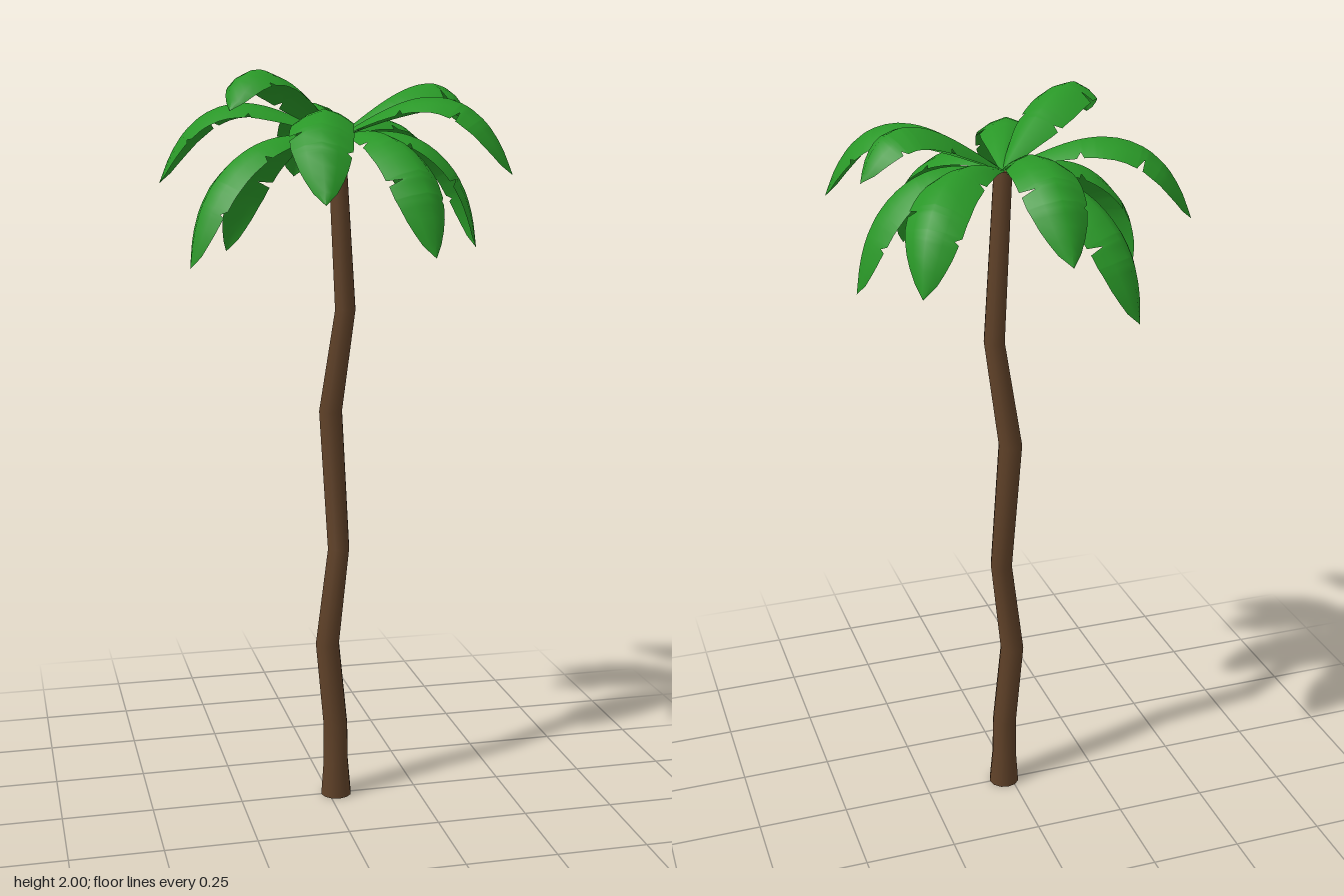
import * as THREE from 'three';
import { toCreasedNormals } from 'three/addons/utils/BufferGeometryUtils.js';

const CROWN = new THREE.Vector3(0.02, 1.83, 0);

// Trunk joints from the ground up: x, y, z, radius
const JOINTS = [
  [0.021, 0, 0, 0.043], [0.02, 0.1, 0, 0.035], [0.019, 0.21, 0, 0.034],
  [-0.004, 0.45, 0, 0.033], [0.028, 0.72, -0.002, 0.03], [0.014, 1.1, -0.04, 0.032],
  [0.045, 1.38, 0, 0.028], [0.02, 1.83, 0, 0.024],
];

// Frond tips: x, y, z, and sideways bow of the midrib
const TIPS = [
  [0, 1.71, -0.455, 0.002], [0.325, 1.63, -0.335, 0.016], [0.41, 1.855, -0.11, 0.014],
  [0.4, 1.54, 0.02, 0.016], [0.425, 1.74, 0.23, 0.014], [0.18, 1.55, 0.39, -0.006],
  [-0.11, 1.685, 0.455, 0.02], [-0.305, 1.9, 0.27, 0.014], [-0.385, 1.51, 0.12, 0.014],
  [-0.425, 1.71, -0.16, 0.014], [-0.22, 1.51, -0.335, 0.002],
];

// Half width of a frond along its length: position, width
const WIDTHS = [[0, 0.006], [0.15, 0.034], [0.3, 0.061], [0.45, 0.075], [0.6, 0.079],
  [0.72, 0.075], [0.82, 0.062], [0.91, 0.041], [0.96, 0.023], [1, 0]];

// Torn notches: position, side (+1 is right looking outward), depth
const NOTCHES = [[0.34, 1, 0.25], [0.4, -1, 0.2], [0.64, 1, 0.4], [0.75, -1, 0.15]];

function widthAt(t) {
  const i = Math.max(1, WIDTHS.findIndex(([p]) => p >= t));
  const [p0, w0] = WIDTHS[i - 1], [p1, w1] = WIDTHS[i];
  return w0 + (w1 - w0) * (t - p0) / (p1 - p0);
}

// Bent, tapering trunk: the rings of a cylinder are moved to the joints
function makeTrunk(material) {
  const sides = 12, n = JOINTS.length - 1;
  const geometry = new THREE.CylinderGeometry(1, 1, n, sides, n);
  const pos = geometry.attributes.position;
  for (let i = 0; i < pos.count; i++) {
    const [x, y, z, r] = JOINTS[Math.round(pos.getY(i) + n / 2)];
    pos.setXYZ(i, x + pos.getX(i) * r, y, z + pos.getZ(i) * r);
  }
  const trunk = new THREE.Mesh(toCreasedNormals(geometry, 0.9), material);
  trunk.name = 'trunk';
  return trunk;
}

// Midrib: rises from the crown, bows slightly sideways and hooks down at the tip
function makeRib(out, right, lift, bow) {
  const [drop, power, hook] = lift > 0 ? [0.26, 4, 0.03]
    : lift > -0.15 ? [0.36, 3.5, 0.03] : [0.37, 3.3, 0.07];
  const points = [];
  for (let i = 0; i <= 12; i++) {
    const f = i / 12;
    const p = CROWN.clone()
      .addScaledVector(out, f + hook * Math.sin(Math.PI * f ** 3))
      .addScaledVector(right, bow * Math.sin(Math.PI * f ** 1.5));
    p.y += (lift + drop) * f - drop * f ** power;
    points.push(p);
  }
  return new THREE.CatmullRomCurve3(points);
}

// Arching leaf blade swept along its midrib, with drooping, notched edges
function makeFrond([x, y, z, bow], material) {
  const out = new THREE.Vector3(x - CROWN.x, 0, z - CROWN.z);
  const right = out.clone().normalize().cross(new THREE.Vector3(0, 1, 0));
  const rib = makeRib(out, right, y - CROWN.y, bow);

  // Even rows, plus three rows around each notch
  const rows = [];
  for (let i = 0; i <= 18; i++) {
    const t = i / 18;
    const inNotch = NOTCHES.some(([c]) => t > c - 0.022 && t < c + 0.012);
    if (!inNotch) rows.push({ t, cut: [0, 0] });
  }
  for (const [t, side, depth] of NOTCHES) {
    const cut = side > 0 ? [0, depth] : [depth, 0];
    rows.push({ t: t - 0.022, cut: [0, 0] }, { t, cut }, { t: t + 0.012, cut: [0, 0] });
  }
  rows.sort((a, b) => a.t - b.t);

  const across = [-1, -0.55, 0, 0.55, 1];
  const vertices = [], index = [];
  rows.forEach(({ t, cut }, row) => {
    const centre = rib.getPointAt(t);
    const normal = right.clone().cross(rib.getTangentAt(t)).normalize();
    const w = widthAt(t);
    for (const a of across) {
      const s = a * (1 - cut[a > 0 ? 1 : 0] * Math.abs(a));
      const p = centre.clone().addScaledVector(right, s * w)
        .addScaledVector(normal, -0.5 * w * Math.abs(s) ** 1.6);
      vertices.push(p.x, p.y, p.z);
    }
    if (row === 0) return;
    for (let j = 0; j < across.length - 1; j++) {
      const b = row * across.length + j, a = b - across.length;
      index.push(a, a + 1, b, a + 1, b + 1, b);
    }
  });
  const geometry = new THREE.BufferGeometry();
  geometry.setAttribute('position', new THREE.Float32BufferAttribute(vertices, 3));
  geometry.setIndex(index);
  geometry.computeVertexNormals();
  return new THREE.Mesh(geometry, material);
}

export function createModel() {
  const bark = new THREE.MeshStandardMaterial({ color: 0x5f4128 });
  const leaf = new THREE.MeshStandardMaterial({ color: 0x299727, side: THREE.DoubleSide });

  const model = new THREE.Group();
  model.name = 'palmTree';
  model.add(makeTrunk(bark));

  const crown = new THREE.Group();
  crown.name = 'crown';
  TIPS.forEach((tip, i) => {
    const frond = makeFrond(tip, leaf);
    frond.name = `frond${i + 1}`;
    crown.add(frond);
  });
  model.add(crown);
  return model;
}
